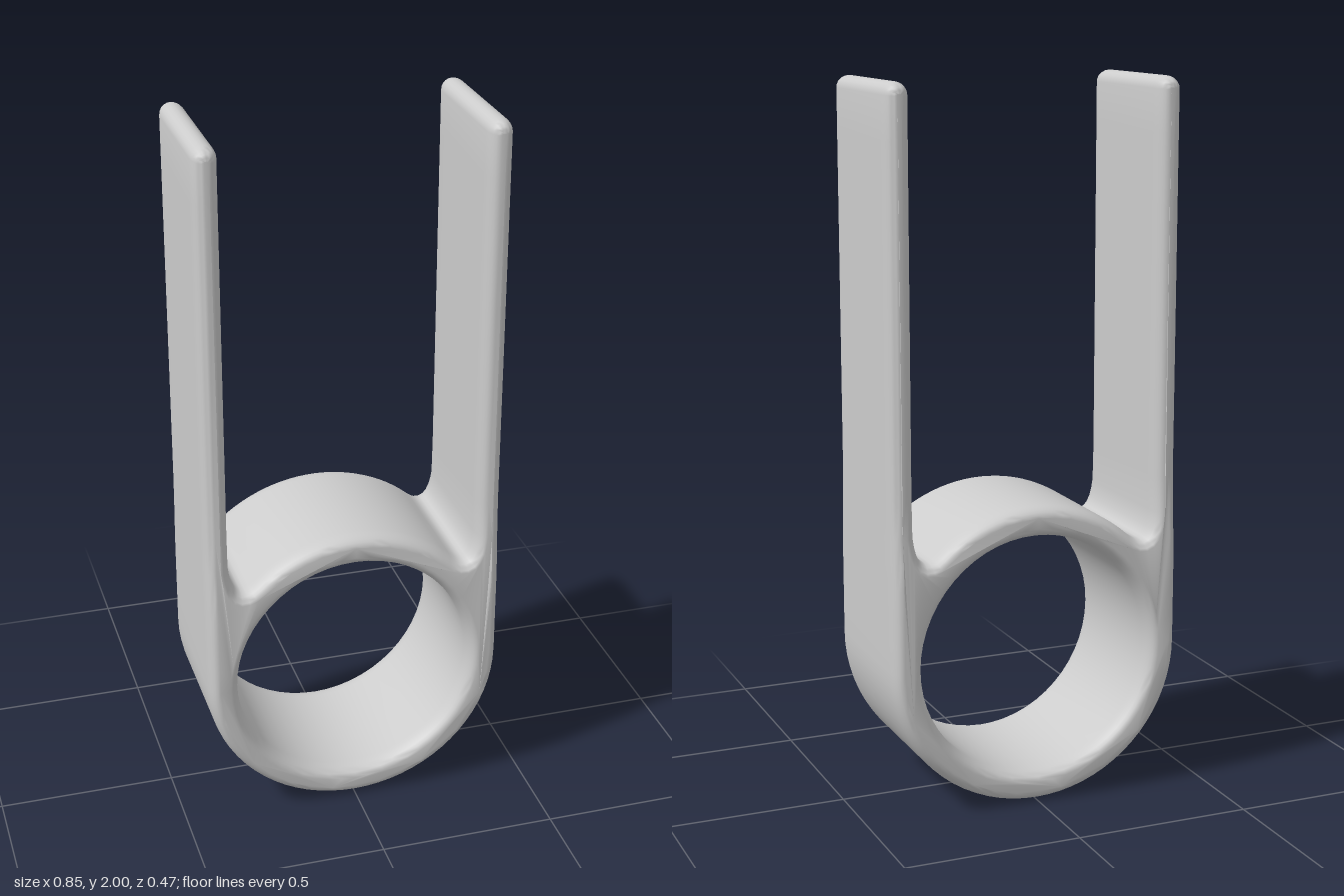
import * as THREE from 'three';
import { mergeVertices, toCreasedNormals } from 'three/addons/utils/BufferGeometryUtils.js';

const R = 0.423, HOLE = 0.338, CY = 0.425;  // ring radii and centre height
const PRONG_IN = 0.355, TIP = 0.034;        // prong inner face, tip radius
const ROUND_XY = 0.028, ROUND_Z = 0.05;     // edge rounding
const PRONG_YS = [0.9, 1.1, 1.3, 1.5, 1.7, 1.85];

// One half of the outline, from the ring's crown over a prong to its base
function halfOutline() {
  const pts = [];
  const arc = (cx, cy, r, from, to, n) => {
    for (let i = 0; i <= n; i++) {
      const a = from + (to - from) * i / n;
      pts.push(new THREE.Vector2(cx + r * Math.cos(a), cy + r * Math.sin(a)));
    }
  };
  // crown of the ring
  arc(0, CY, R, Math.PI / 2, 0.84, 12);
  // small fillet between ring and prong
  const fillet = new THREE.QuadraticBezierCurve(
    pts[pts.length - 1].clone(), new THREE.Vector2(0.345, 0.685), new THREE.Vector2(PRONG_IN, 0.8));
  pts.push(...fillet.getPoints(8).slice(1));
  // inner face, rounded tip, outer face
  pts.push(...PRONG_YS.map(y => new THREE.Vector2(PRONG_IN, y)));
  arc(PRONG_IN + TIP, 2 - TIP, TIP, Math.PI, 0, 10);
  const outerYs = [0.5, 0.58, 0.66, 0.73, 0.8, ...PRONG_YS].reverse();
  pts.push(...outerYs.map(y => new THREE.Vector2(R, y)));
  // lower half of the ring
  arc(0, CY, R, 0, -Math.PI / 2, 18);
  return pts;
}

function bandGeometry() {
  const half = halfOutline();
  const mirrored = half.slice(1, -1).reverse().map(p => new THREE.Vector2(-p.x, p.y));
  const shape = new THREE.Shape([...half, ...mirrored]);
  // finger hole, wound against the outline
  const holePoints = Array.from({ length: 56 }, (_, i) => {
    const a = i / 56 * Math.PI * 2;
    return new THREE.Vector2(HOLE * Math.cos(a), CY + HOLE * Math.sin(a));
  });
  shape.holes.push(new THREE.Path(holePoints));

  const depth = 0.44 - 2 * ROUND_Z;
  let geo = new THREE.ExtrudeGeometry(shape, {
    depth, bevelEnabled: true, bevelSegments: 6,
    bevelSize: ROUND_XY, bevelOffset: -ROUND_XY, bevelThickness: ROUND_Z,
  });
  geo.translate(0, 0, -depth / 2);

  // the ring is slightly deeper than the prongs, most of all at its sides
  const p = geo.attributes.position;
  for (let i = 0; i < p.count; i++) {
    const ring = 1 - THREE.MathUtils.smoothstep(p.getY(i), 0.65, 0.9);
    const side = Math.abs(p.getX(i)) / R;
    p.setZ(i, p.getZ(i) * (1 + (0.03 + 0.035 * side * side) * ring));
  }
  geo.deleteAttribute('normal');
  geo.deleteAttribute('uv');
  geo.clearGroups();
  geo = mergeVertices(geo, 1e-5);
  return toCreasedNormals(geo, 0.8);
}

export function createModel() {
  const group = new THREE.Group();
  group.name = 'ringWithProngs';
  const grey = new THREE.MeshStandardMaterial({ color: 0xcccccc });
  grey.name = 'plainGrey';
  const band = new THREE.Mesh(bandGeometry(), grey);
  band.name = 'ringAndProngs';
  group.add(band);
  return group;
}
